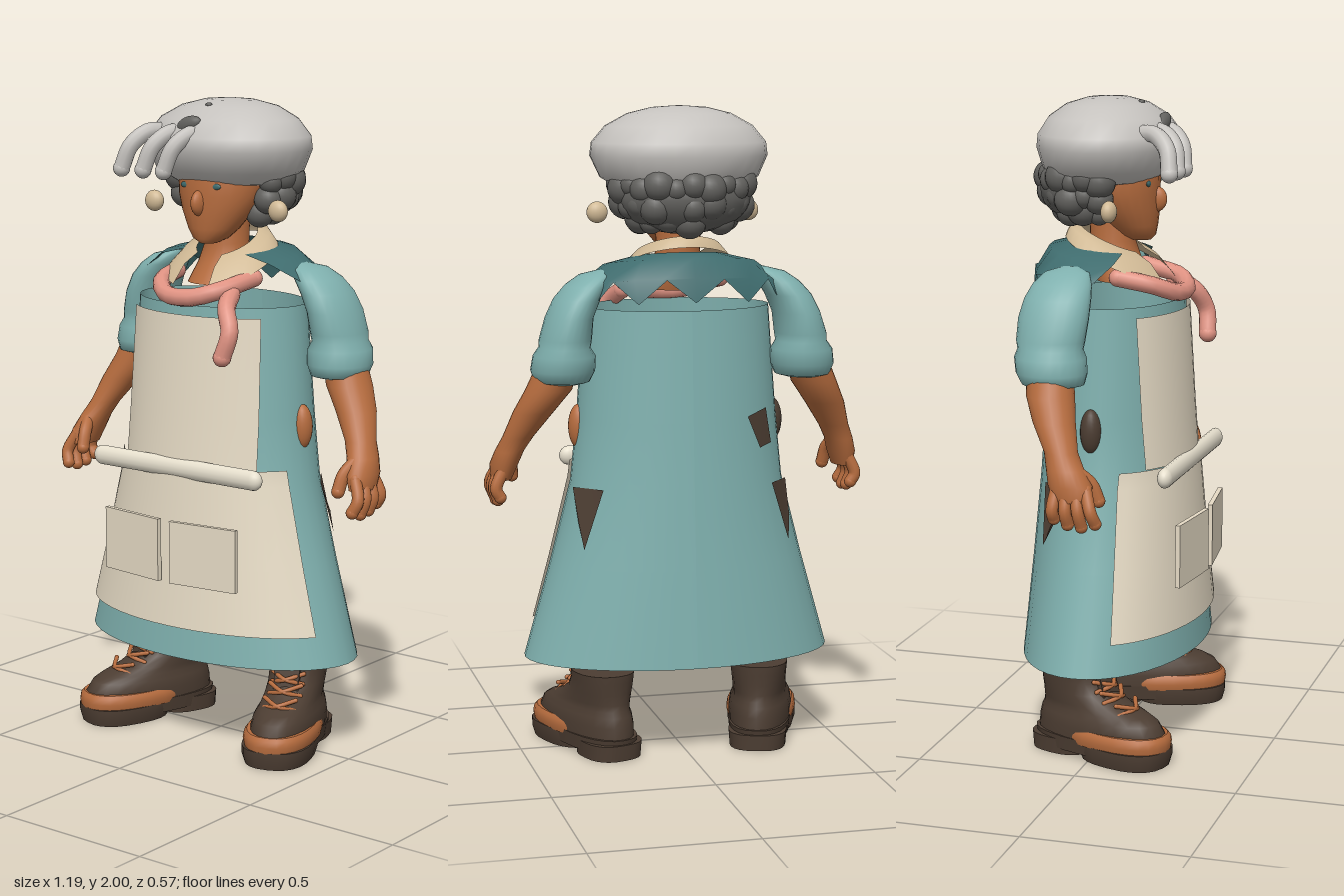
import * as THREE from 'three';

const mat = (name, color, double = false) => {
  const m = new THREE.MeshStandardMaterial({ color, side: double ? THREE.DoubleSide : THREE.FrontSide });
  m.name = name;
  return m;
};

// Skin over elliptical rings [cx, y, cz, rx, rz, halfAngle], listed from bottom to top.
function loft(rings, { seg = 24, mid = 0, slope = 0, jag = 0, pow = 1, open = false } = {}) {
  const pos = [], idx = [], n = open ? seg + 1 : seg;
  const curve = v => Math.sign(v) * Math.abs(v) ** pow;
  rings.forEach(([cx, y, cz, rx, rz, half = Math.PI], j) => {
    for (let i = 0; i < n; i++) {
      const a = mid - half + 2 * half * i / seg;
      const z = cz + rz * curve(Math.cos(a));
      pos.push(cx + rx * curve(Math.sin(a)), y - slope * z + (j === 0 && i % 2 ? jag : 0), z);
    }
  });
  for (let j = 0; j < rings.length - 1; j++) for (let i = 0; i < seg; i++) {
    const a = j * n + i, b = j * n + (i + 1) % n;
    idx.push(a, b, b + n, a, b + n, a + n);
  }
  if (!open) for (const j of [0, rings.length - 1]) {
    const base = pos.length / 3, [cx, y, cz] = rings[j];
    pos.push(cx, y, cz, ...pos.slice(j * n * 3, (j + 1) * n * 3));
    for (let i = 0; i < n; i++) {
      const a = base + 1 + i, b = base + 1 + (i + 1) % n;
      j ? idx.push(base, a, b) : idx.push(base, b, a);
    }
  }
  const g = new THREE.BufferGeometry();
  g.setAttribute('position', new THREE.Float32BufferAttribute(pos, 3));
  g.setIndex(idx);
  g.computeVertexNormals();
  return g;
}

// Dress outline: [cx, y, cz, rx, rz]
const DRESS = [[0, 0.3, -0.01, 0.485, 0.275], [0, 0.6, -0.01, 0.4, 0.25], [0, 0.85, -0.01, 0.335, 0.232],
  [0, 1.05, -0.01, 0.315, 0.218], [0, 1.39, -0.01, 0.29, 0.198]];
function dressRing(y, off, half) {
  const k = Math.max(1, DRESS.findIndex(r => r[1] >= y)), lo = DRESS[k - 1], hi = DRESS[k];
  const t = (y - lo[1]) / (hi[1] - lo[1]);
  return [0, y, -0.01, lo[3] + (hi[3] - lo[3]) * t + off, lo[4] + (hi[4] - lo[4]) * t + off, half];
}
// Flat patch on the side of the dress from [z, y] corners
function patchGeometry(s, corners) {
  const pos = corners.flatMap(([z, y]) => {
    const [, , cz, rx, rz] = dressRing(y, 0.01);
    return [s * rx * Math.sqrt(1 - ((z - cz) / rz) ** 2), y, z];
  });
  const g = new THREE.BufferGeometry();
  g.setAttribute('position', new THREE.Float32BufferAttribute(pos, 3));
  g.setIndex(corners.slice(2).flatMap((_, i) => [0, i + 1, i + 2]));
  g.computeVertexNormals();
  return g;
}

export function createModel() {
  const model = new THREE.Group();
  model.name = 'figure';
  const M = {
    dress: mat('teal cloth', 0x7fb0ae, true), yoke: mat('dark teal cloth', 0x3f6c6e, true),
    apron: mat('apron linen', 0xe6dbc5, true), hat: mat('grey felt', 0xc5c2be),
    hair: mat('dark grey hair', 0x62615e), scarf: mat('pink scarf', 0xe09383),
    skin: mat('brown skin', 0xb66c3e), boot: mat('dark leather', 0x4c3d32, true),
    tan: mat('tan collar', 0xd0b995, true), belt: mat('cream cord', 0xe6dfcd),
  };
  const add = (name, geo, m, p = [0, 0, 0], s = [1, 1, 1], parent = model) => {
    const mesh = new THREE.Mesh(geo, m);
    mesh.name = name;
    mesh.position.set(...p);
    mesh.scale.set(...s);
    parent.add(mesh);
    return mesh;
  };
  const ball = new THREE.SphereGeometry(1, 20, 14);
  // Round-ended tube along points
  const tube = (name, pts, r, m, parent = model) => {
    const v = pts.map(p => new THREE.Vector3(...p));
    add(name, new THREE.TubeGeometry(new THREE.CatmullRomCurve3(v), 14, r, 10), m, [0, 0, 0], [1, 1, 1], parent);
    for (const e of [pts[0], pts[pts.length - 1]]) add(name + 'End', ball, m, e, [r, r, r], parent);
  };

  // Dress and apron
  add('dress', loft(DRESS, { seg: 40, open: true }), M.dress);
  add('apronBib', loft([[0.9, 0.84], [1.05, 0.88], [1.36, 0.93]].map(([y, h]) => dressRing(y, 0.012, h)),
    { seg: 16, open: true }), M.apron);
  add('apronSkirt', loft([[0.4, 1.19], [0.6, 1.19], [0.85, 1.19], [0.9, 1.17]].map(([y, h]) => dressRing(y, 0.018, h)),
    { seg: 20, open: true }), M.apron);
  const cord = add('apronCord', new THREE.CapsuleGeometry(0.031, 0.59, 6, 14), M.belt, [0, 0.89, 0.222], [1, 1, 0.75]);
  cord.rotation.z = Math.PI / 2;

  // Neck and head
  add('neck', loft([[0, 1.44, 0.01, 0.1, 0.09], [0, 1.5, -0.02, 0.085, 0.08], [0, 1.56, -0.03, 0.068, 0.07],
    [0, 1.66, -0.03, 0.07, 0.075]]), M.skin);
  add('head', loft([[0, 1.565, 0.06, 0.025, 0.03], [0, 1.58, 0.05, 0.055, 0.055], [0, 1.61, 0.035, 0.083, 0.075],
    [0, 1.66, 0.015, 0.115, 0.1], [0, 1.71, 0, 0.137, 0.115], [0, 1.77, -0.01, 0.145, 0.125],
    [0, 1.85, -0.02, 0.13, 0.12]]), M.skin);
  add('nose', ball, M.skin, [0, 1.69, 0.105], [0.021, 0.04, 0.037]);

  // Hair clumps around the back and sides of the head
  const hair = new THREE.Group();
  hair.name = 'hair';
  model.add(hair);
  add('hairBase', ball, M.hair, [0, 1.725, -0.115], [0.205, 0.11, 0.135], hair);
  [[1.655, 0.13, 9], [1.7, 0.175, 13], [1.755, 0.188, 15]].forEach(([y, r, n], row) => {
    for (let i = 0; i < n; i++) {
      const a = (i / (n - 1) - 0.5) * 3.9, k = 0.037 + 0.007 * ((i * 2 + row) % 3);
      add('hairClump', ball, M.hair, [r * Math.sin(a), y + 0.012 * (i % 2), -0.075 - r * 0.78 * Math.cos(a)], [k, k, k], hair);
    }
  });

  // Puffy hat with curled strands
  add('hat', loft([[0, 1.733, -0.05, 0.1, 0.08], [0, 1.748, -0.05, 0.185, 0.148], [0, 1.785, -0.045, 0.245, 0.195],
    [0, 1.85, -0.04, 0.275, 0.218], [0, 1.89, -0.04, 0.27, 0.214], [0, 1.94, -0.042, 0.228, 0.18],
    [0, 1.977, -0.045, 0.16, 0.125], [0, 1.995, -0.045, 0.085, 0.065], [0, 2, -0.045, 0.01, 0.01]], { seg: 28 }), M.hat);
  for (const x of [-0.145, -0.06, 0.02])
    tube('hatStrand', [[x, 1.9, 0.1], [x - 0.02, 1.9, 0.15], [x - 0.05, 1.86, 0.195], [x - 0.075, 1.79, 0.21]], 0.026, M.hat);
  const patch = add('hatPatch', ball, M.hair, [-0.018, 1.925, 0.135], [0.048, 0.026, 0.02]);
  patch.rotation.z = 0.35;
  add('hatSpot', ball, M.hair, [0, 1.983, 0.06], [0.011, 0.007, 0.01]);

  // Collar, shoulder yoke and scarf
  add('collar', loft([[0, 1.505, -0.005, 0.175, 0.17, 2.75], [0, 1.545, -0.02, 0.135, 0.14, 2.7],
    [0, 1.555, -0.03, 0.09, 0.1, 2.6]], { seg: 28, mid: Math.PI, slope: 0.42, open: true }), M.tan);
  add('shoulderYoke', loft([[0, 1.38, -0.055, 0.335, 0.205, 1.6], [0, 1.455, -0.055, 0.32, 0.195, 1.8],
    [0, 1.517, -0.04, 0.235, 0.18, 2.0], [0, 1.54, -0.03, 0.14, 0.13, 2.1]],
    { seg: 12, mid: Math.PI, slope: 0.15, jag: 0.07, open: true }), M.yoke);
  tube('scarfLoop', [[-0.15, 1.465, 0.03], [-0.13, 1.445, 0.13], [-0.06, 1.415, 0.19], [0.04, 1.415, 0.195],
    [0.12, 1.44, 0.15], [0.15, 1.465, 0.03]], 0.027, M.scarf);
  tube('scarfTail', [[0.14, 1.425, 0.13], [0.165, 1.39, 0.185], [0.2, 1.325, 0.215], [0.18, 1.25, 0.225]], 0.028, M.scarf);

  for (const s of [1, -1]) {
    const side = s > 0 ? 'left' : 'right';
    const flip = rings => rings.map(([x, ...r]) => [s * x, ...r]);

    // Eye and earring
    add(side + 'Eye', ball, M.yoke, [s * 0.055, 1.742, 0.1], [0.022, 0.01, 0.006]);
    add(side + 'Earring', ball, M.tan, [s * 0.24, 1.675, 0.03], [0.033, 0.033, 0.024]);

    // Sleeve with rolled cuff, forearm and hand
    add(side + 'Sleeve', loft(flip([[0.38, 1.17, -0.1, 0.06, 0.07], [0.38, 1.177, -0.1, 0.085, 0.095],
      [0.378, 1.21, -0.105, 0.098, 0.108], [0.374, 1.255, -0.11, 0.095, 0.109], [0.373, 1.28, -0.11, 0.078, 0.1],
      [0.37, 1.305, -0.11, 0.079, 0.105], [0.357, 1.37, -0.105, 0.072, 0.108], [0.332, 1.425, -0.1, 0.07, 0.102],
      [0.302, 1.465, -0.095, 0.064, 0.09], [0.272, 1.495, -0.09, 0.05, 0.068], [0.245, 1.51, -0.085, 0.015, 0.02]])), M.dress);
    add(side + 'Forearm', loft(flip([[0.55, 0.865, 0.015, 0.032, 0.058], [0.543, 0.91, 0.005, 0.043, 0.067],
      [0.528, 0.955, -0.015, 0.044, 0.057], [0.505, 1.0, -0.035, 0.047, 0.05], [0.463, 1.08, -0.07, 0.062, 0.064],
      [0.42, 1.15, -0.095, 0.071, 0.073], [0.395, 1.22, -0.105, 0.065, 0.07]])), M.skin);
    for (let f = 0; f < 4; f++) {
      const z = -0.035 + f * 0.03, drop = [0.02, 0.005, 0, 0.012][f];
      tube(side + 'Finger', [[s * 0.55, 0.9, z], [s * 0.575, 0.84, z * 1.3 + 0.005], [s * 0.562, 0.793 + drop, z * 1.4 + 0.01]], 0.019, M.skin);
    }
    tube(side + 'Thumb', [[s * 0.53, 0.95, 0.02], [s * 0.512, 0.91, 0.06], [s * 0.505, 0.86, 0.08]], 0.02, M.skin);

    // Thin apron pocket
    const pocket = add(side + 'Pocket', new THREE.BoxGeometry(0.235, 0.195, 0.015), M.apron, [s * 0.138, 0.638, 0.265]);
    pocket.rotation.y = s * 0.12;

    // Side pouch and torn patch
    add(side + 'Pouch', ball, s > 0 ? M.skin : M.boot, [s * 0.308, 1.02, -0.005], [0.034, 0.07, 0.033]);
    add(side + 'LowerPatch', patchGeometry(s, [[-0.06, 0.84], [-0.165, 0.845], [-0.155, 0.66], [-0.12, 0.74]]), M.boot);

    // Boot, turned outward
    const boot = new THREE.Group();
    boot.name = side + 'Boot';
    boot.position.set(s * 0.285, 0, 0.02);
    boot.rotation.y = s * 0.33;
    model.add(boot);
    const part = (name, rings, m, pow) => add(name, loft(rings, { pow }), m, [0, 0, 0], [1, 1, 1], boot);
    part('heel', [[0, 0, -0.135, 0.088, 0.1], [0, 0.05, -0.135, 0.092, 0.103]], M.boot, 0.75);
    part('sole', [[0, 0, 0.09, 0.1, 0.14], [0, 0.03, 0.09, 0.109, 0.148], [0, 0.055, 0.09, 0.109, 0.148]], M.boot, 0.8);
    part('midsole', [[0, 0.02, 0, 0.095, 0.225], [0, 0.065, 0, 0.1, 0.235]], M.boot, 0.8);
    part('welt', [[0, 0.052, 0.06, 0.106, 0.178], [0, 0.072, 0.06, 0.111, 0.181], [0, 0.09, 0.06, 0.108, 0.178],
      [0, 0.1, 0.058, 0.1, 0.17]], M.skin, 0.85);
    part('upper', [[0, 0.06, 0, 0.098, 0.228], [0, 0.1, 0, 0.1, 0.224], [0, 0.13, -0.007, 0.094, 0.21],
      [0, 0.148, -0.02, 0.085, 0.188], [0, 0.168, -0.05, 0.084, 0.155], [0, 0.2, -0.082, 0.085, 0.122],
      [0, 0.235, -0.097, 0.088, 0.11], [0, 0.262, -0.1, 0.091, 0.108]], M.boot, 0.92);
    const tongue = add('tongue', new THREE.BoxGeometry(0.08, 0.09, 0.015), M.boot, [0, 0.235, 0.02], [1, 1, 1], boot);
    tongue.rotation.x = -0.25;
    [[0.165, 0.12], [0.195, 0.065], [0.225, 0.037]].forEach(([y, z]) => {
      for (const d of [1, -1])
        tube('lace', [[-0.05 * d, y - 0.012, z - 0.02], [0, y + 0.004, z + 0.004], [0.05 * d, y + 0.018, z - 0.03]], 0.007, M.skin, boot);
    });
  }
  // Extra torn patch on the right side
  add('rightUpperPatch', patchGeometry(-1, [[-0.155, 1.08], [-0.2, 1.06], [-0.185, 0.96], [-0.15, 0.97]]), M.boot);
  return model;
}
